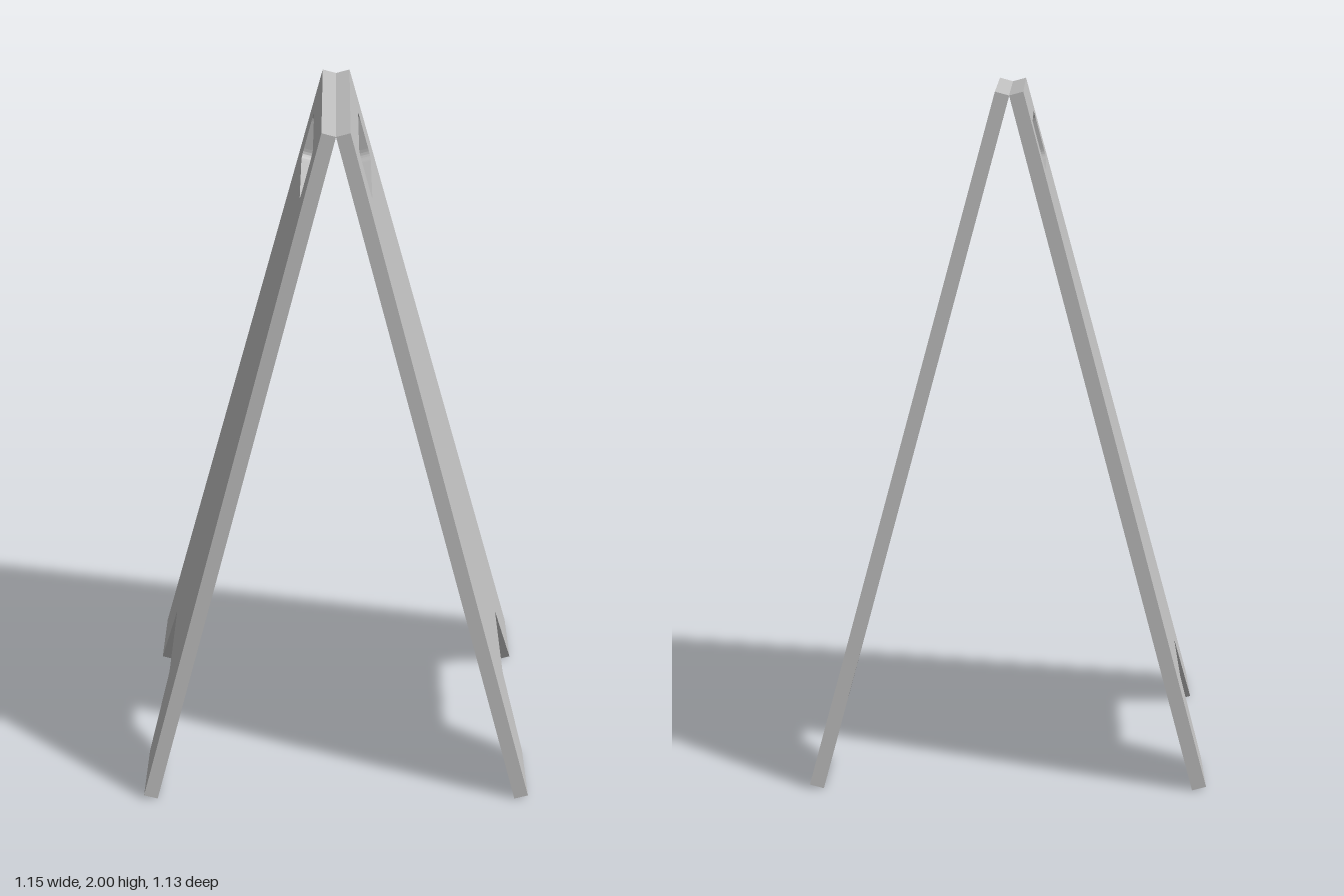
import * as THREE from 'three';

const THICKNESS = 0.042;
const LENGTH = 2.06;
const TILT = Math.atan2(0.535, 1.989);

// Traces a closed outline from [x, y, cornerRadius] points, rounding corners with a radius
function trace(path, points) {
  const n = points.length;
  points.forEach(([x, y, r], i) => {
    const corner = new THREE.Vector2(x, y);
    const toward = ([px, py]) =>
      new THREE.Vector2(px, py).sub(corner).setLength(r).add(corner);
    const a = r ? toward(points[(i + n - 1) % n]) : corner;
    const b = r ? toward(points[(i + 1) % n]) : corner;
    if (i === 0) path.moveTo(a.x, a.y);
    else path.lineTo(a.x, a.y);
    if (r) path.quadraticCurveTo(x, y, b.x, b.y);
  });
  path.closePath();
  return path;
}

// Tapered board with two feet and a hand hole
function boardGeometry() {
  const outline = trace(new THREE.Shape(), [
    [-0.566, 0, 0], [-0.305, 0, 0], [-0.205, 0.23, 0.02], [0.205, 0.23, 0.02],
    [0.305, 0, 0], [0.566, 0, 0], [0.338, LENGTH, 0], [-0.338, LENGTH, 0],
  ]);
  outline.holes.push(trace(new THREE.Path(), [
    [-0.207, 1.815, 0.03], [-0.207, 1.963, 0.03],
    [0.207, 1.963, 0.03], [0.207, 1.815, 0.03],
  ]));
  return new THREE.ExtrudeGeometry(outline, {
    depth: THICKNESS, bevelEnabled: false, curveSegments: 6,
  });
}

export function createModel() {
  const model = new THREE.Group();
  model.name = 'foldingFloorSign';
  const grey = new THREE.MeshStandardMaterial({ color: 0xbfbfbf });
  grey.name = 'grey';

  // Lean the board so its inner top edge meets the centre line
  const geometry = boardGeometry();
  geometry.rotateY(Math.PI / 2);
  geometry.rotateZ(TILT);
  geometry.translate(0.535, 0, 0);

  // Two identical boards, back to back
  ['leftBoard', 'rightBoard'].forEach((name, i) => {
    const board = new THREE.Mesh(geometry, grey);
    board.name = name;
    board.rotation.y = i * Math.PI;
    model.add(board);
  });
  return model;
}
